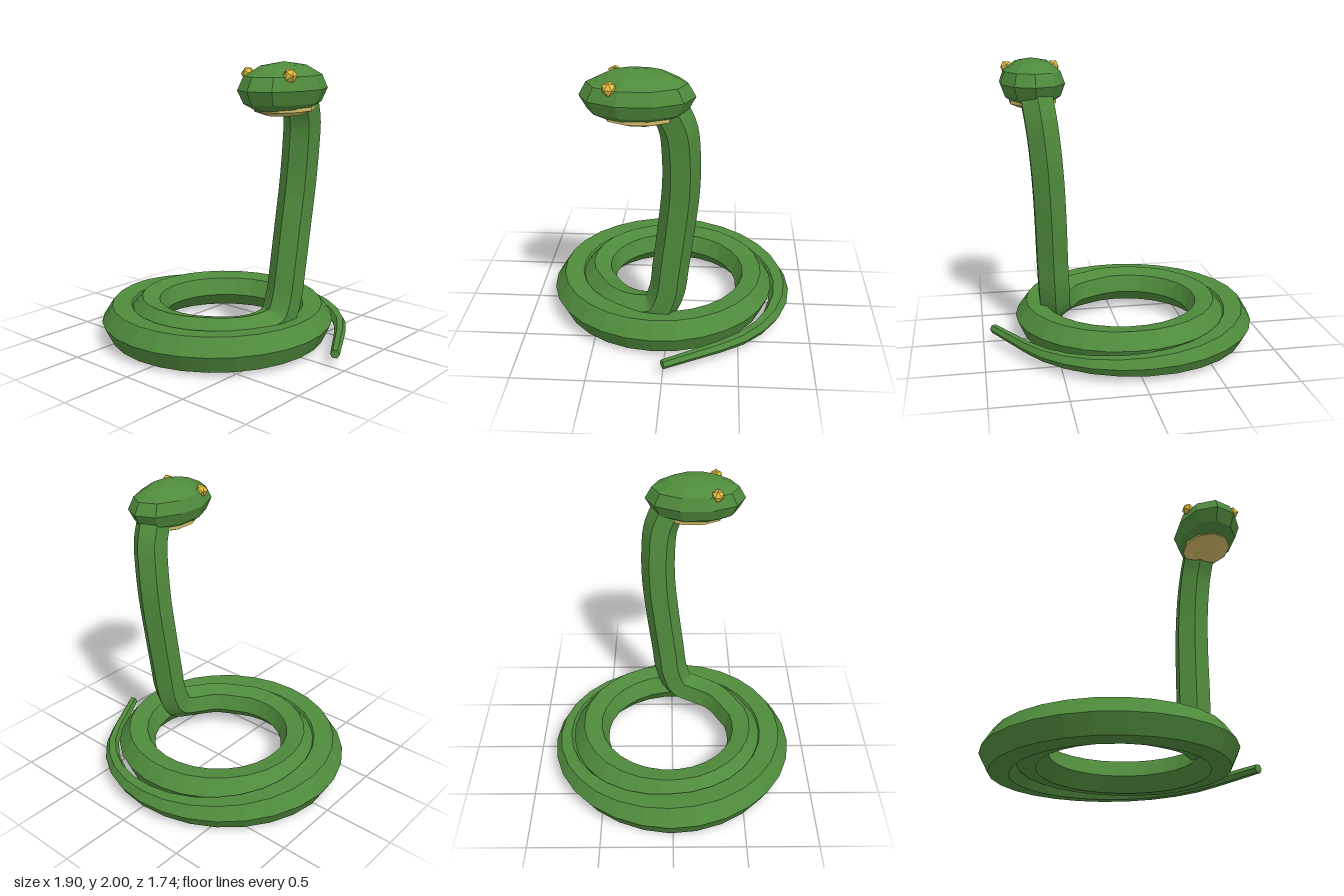
import * as THREE from 'three';

const green = new THREE.MeshStandardMaterial({ name: 'snakeGreen', color: 0x4f8b3c, flatShading: true });
const tan = new THREE.MeshStandardMaterial({ name: 'jawTan', color: 0xd2bc68, flatShading: true });
const gold = new THREE.MeshStandardMaterial({ name: 'eyeGold', color: 0xe2be3e, flatShading: true });

// Centre line and radius of the body, from tail tip to neck
function bodyPath() {
  const path = [{ p: new THREE.Vector3(0.925, 0.1, 0), r: 0.032 }];
  const end = 11.4;
  for (let a = 0.46; a <= end; a += 0.22) {
    const q = a / (Math.PI / 2);
    const d = 0.862 - 0.048 * q;
    const r = a < Math.PI
      ? 0.03 + 0.11 * Math.pow(a / Math.PI, 1.3)
      : THREE.MathUtils.mapLinear(a, Math.PI, end, 0.14, 0.125);
    path.push({ p: new THREE.Vector3(-0.042 + d * Math.cos(a), 0.099 + 0.0133 * q, 0.01 - d * Math.sin(a)), r });
  }
  // Bend upward and raise the neck into the head
  const last = path[path.length - 1].p;
  const neck = new THREE.CatmullRomCurve3([
    last,
    ...[
      [0.335, 0.202, 0.36], [0.435, 0.212, 0.2], [0.478, 0.255, 0.06], [0.49, 0.4, -0.005],
      [0.5, 0.6, -0.032], [0.51, 0.9, -0.07], [0.525, 1.2, -0.1], [0.545, 1.45, -0.1],
      [0.565, 1.62, -0.08], [0.59, 1.8, 0],
    ].map((v) => new THREE.Vector3(...v)),
  ]);
  neck.getPoints(36).slice(1).forEach((p) => path.push({ p, r: 0.123 }));
  return path;
}

// Six-sided tube swept along the path, with its side ridges kept level in the coil
function sweep(path, sides) {
  const pos = [];
  const index = [];
  const n = path.length;
  const side = new THREE.Vector3();
  path.forEach(({ p, r }, i) => {
    const t = path[Math.min(i + 1, n - 1)].p.clone().sub(path[Math.max(i - 1, 0)].p).normalize();
    if (i === 0) side.crossVectors(new THREE.Vector3(0, 1, 0), t);
    side.addScaledVector(t, -side.dot(t)).normalize();
    const up = new THREE.Vector3().crossVectors(t, side);
    for (let j = 0; j < sides; j++) {
      const a = (j / sides) * Math.PI * 2;
      const v = p.clone().addScaledVector(side, r * Math.cos(a)).addScaledVector(up, r * Math.sin(a));
      pos.push(v.x, v.y, v.z);
      if (i < n - 1) {
        const k = (j + 1) % sides;
        const A = i * sides + j, B = i * sides + k;
        index.push(A, B, B + sides, A, B + sides, A + sides);
      }
    }
  });
  // End caps
  const e = (n - 1) * sides;
  for (let j = 1; j < sides - 1; j++) index.push(0, j + 1, j, e, e + j, e + j + 1);
  const g = new THREE.BufferGeometry();
  g.setAttribute('position', new THREE.Float32BufferAttribute(pos, 3));
  g.setIndex(index);
  const flat = g.toNonIndexed();
  flat.computeVertexNormals();
  return flat;
}

// Faceted ellipsoid with a vertex line on the front
function ellipsoid(name, material, radii, centre, width, height) {
  const g = new THREE.SphereGeometry(1, width, height);
  g.rotateY(Math.PI / 2);
  g.scale(...radii);
  const mesh = new THREE.Mesh(g, material);
  mesh.name = name;
  mesh.position.set(...centre);
  return mesh;
}

export function createModel() {
  const model = new THREE.Group();
  model.name = 'snake';

  const body = new THREE.Mesh(sweep(bodyPath(), 6), green);
  body.name = 'coiledBody';
  model.add(body);

  const head = new THREE.Group();
  head.name = 'head';
  head.position.set(0.597, 1.83, 0.165);
  head.add(ellipsoid('skull', green, [0.23, 0.17, 0.358], [0, 0, 0], 10, 6));
  // Five rings give the jaw an upright lip band
  head.add(ellipsoid('lowerJaw', tan, [0.172, 0.056, 0.242], [0, -0.118, -0.015], 10, 5));
  for (const s of [-1, 1]) {
    const eye = new THREE.Mesh(new THREE.IcosahedronGeometry(0.047, 0), gold);
    eye.name = s > 0 ? 'leftEye' : 'rightEye';
    eye.position.set(s * 0.163, 0.093, 0.15);
    head.add(eye);
  }
  model.add(head);

  return model;
}
